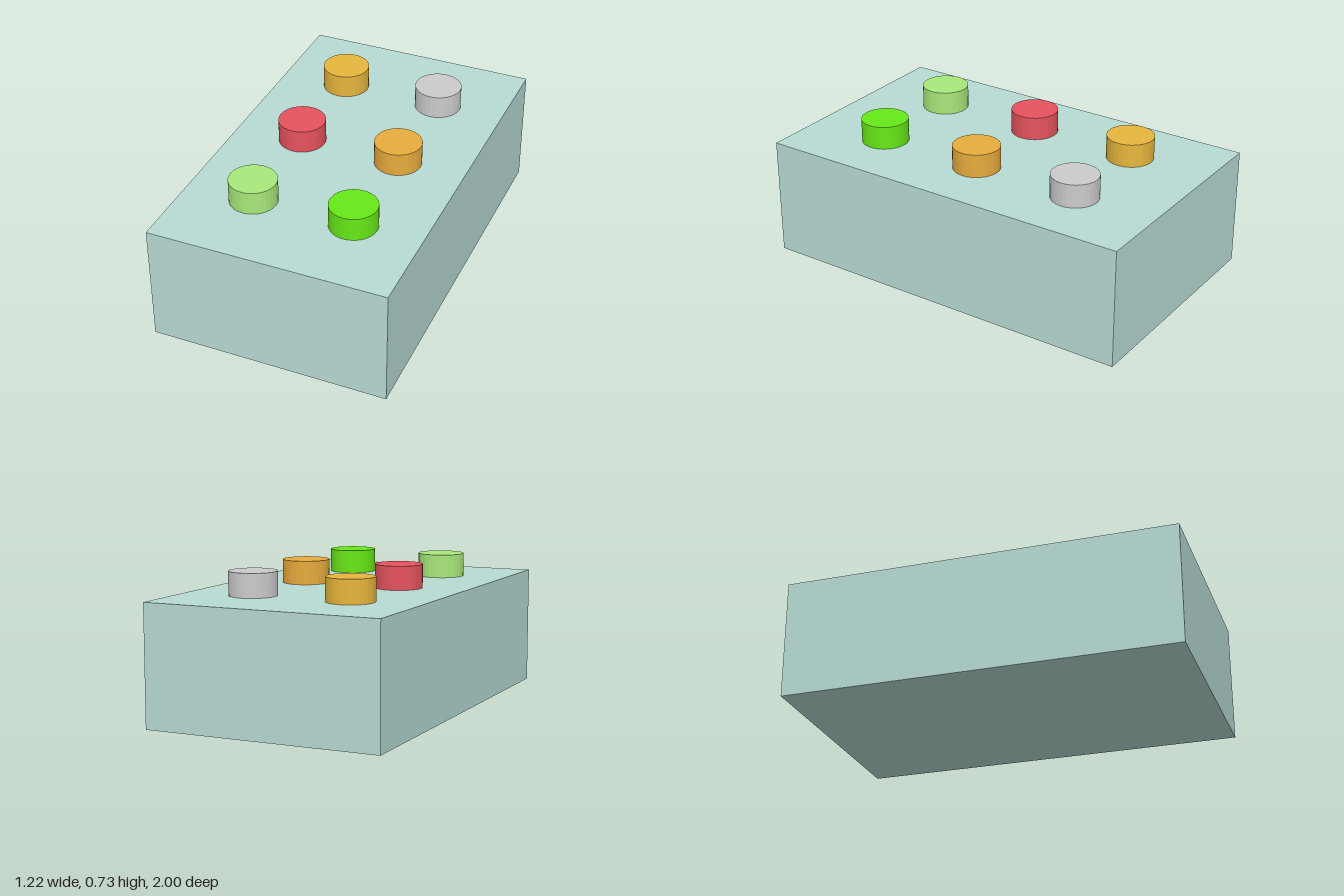
import * as THREE from 'three';

const W = 1.216, H = 0.61, D = 2;
const STUD_R = 0.12, STUD_H = 0.12, COL_X = 0.26, ROW_Z = 0.567;

function addMesh(group, name, geometry, color, x, y, z) {
  const material = new THREE.MeshStandardMaterial({ color, flatShading: true });
  const mesh = new THREE.Mesh(geometry, material);
  mesh.name = name;
  mesh.position.set(x, y, z);
  group.add(mesh);
}

export function createModel() {
  const model = new THREE.Group();
  model.name = 'studdedBlock';

  // Solid block
  addMesh(model, 'block', new THREE.BoxGeometry(W, H, D), 0xb7dbd3, 0, H / 2, 0);

  // Two columns of three studs: [name, column, row, color]
  const studs = [
    ['studBackRight', -1, -1, 0xe7b63d],
    ['studBackLeft', 1, -1, 0xcccccc],
    ['studMiddleRight', -1, 0, 0xe6535e],
    ['studMiddleLeft', 1, 0, 0xe7ac3e],
    ['studFrontRight', -1, 1, 0xa9e97b],
    ['studFrontLeft', 1, 1, 0x67e917],
  ];
  const studGeometry = new THREE.CylinderGeometry(STUD_R, STUD_R, STUD_H, 32);
  for (const [name, col, row, color] of studs) {
    addMesh(model, name, studGeometry, color, col * COL_X, H + STUD_H / 2, row * ROW_Z);
  }

  return model;
}
